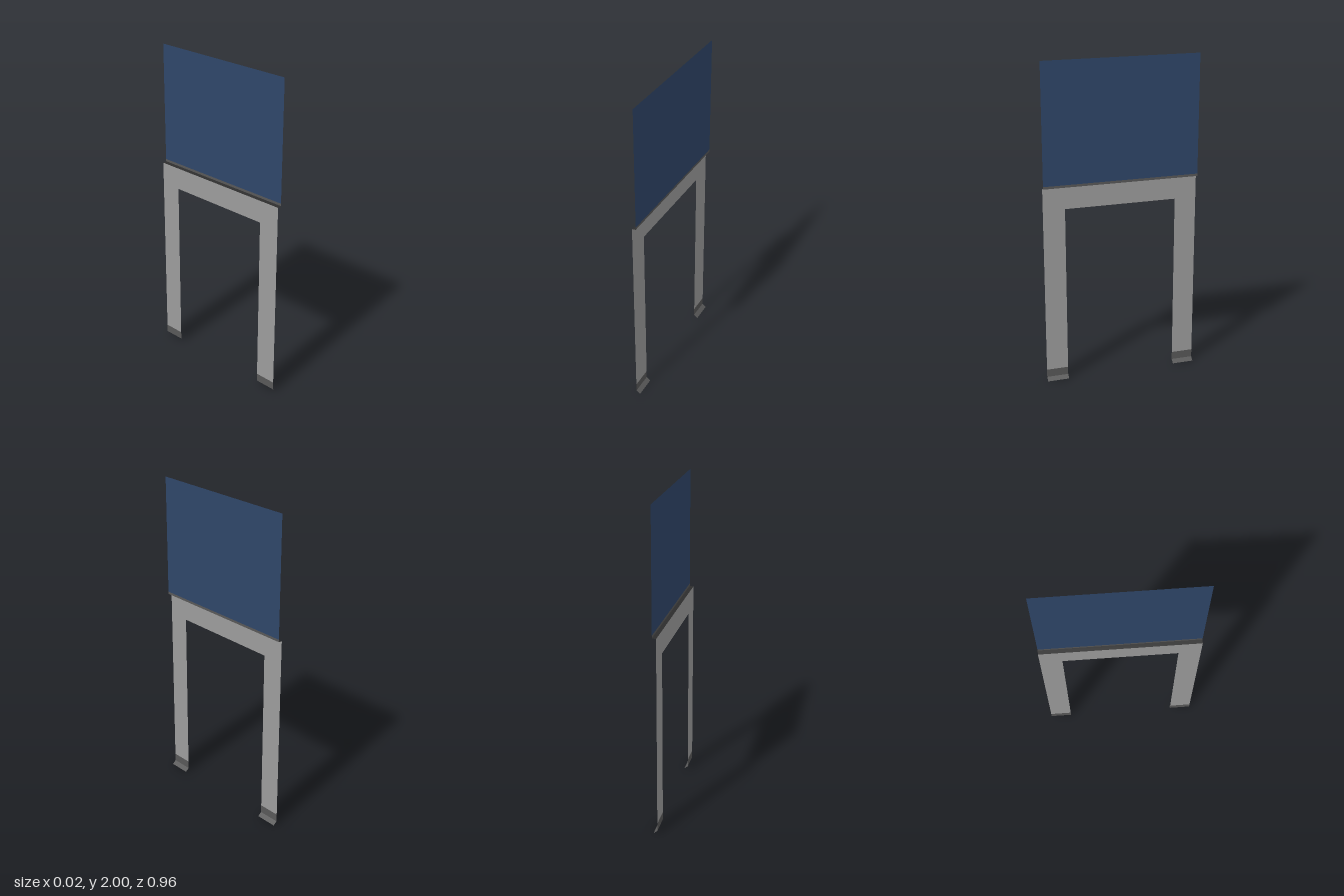
import * as THREE from 'three';

const paint = (name, color) => {
  const m = new THREE.MeshStandardMaterial({ color, side: THREE.DoubleSide });
  m.name = name;
  return m;
};

// Sweep an open [x, y] profile along z into a thin flat-sided sheet
function sheet(name, profile, z0, z1, material) {
  const pos = [];
  for (let i = 0; i + 1 < profile.length; i++) {
    const [ax, ay] = profile[i];
    const [bx, by] = profile[i + 1];
    pos.push(ax, ay, z1, ax, ay, z0, bx, by, z0);
    pos.push(ax, ay, z1, bx, by, z0, bx, by, z1);
  }
  const geo = new THREE.BufferGeometry();
  geo.setAttribute('position', new THREE.Float32BufferAttribute(pos, 3));
  geo.computeVertexNormals();
  const mesh = new THREE.Mesh(geo, material);
  mesh.name = name;
  return mesh;
}

export function createModel() {
  const group = new THREE.Group();
  group.name = 'panelStand';
  const blue = paint('panel blue', 0x2f4669);
  const grey = paint('frame grey', 0x9c9c9c);
  const footGrey = paint('foot grey', 0x585858);
  const black = paint('ledge black', 0x2d2d2d);

  const half = 0.48, inner = 0.345, back = -0.012, front = 0.012;
  const legTop = 1.247, footTop = 0.07;

  // Upper panel
  group.add(sheet('panel', [[front, 1.265], [front, 2]], -half, half, blue));

  // Ledge joining the panel to the frame, with its small rim
  group.add(sheet('ledge', [[back, legTop], [front, legTop + 0.003]], -half, half, black));
  group.add(sheet('ledgeRim', [[front, legTop + 0.003], [front, 1.265]], -half, half, footGrey));

  // Crossbar between the legs
  group.add(sheet('crossbar', [[back, 1.11], [back, legTop]], -inner, inner, grey));

  // Legs with feet that turn outward at the bottom
  for (const [side, z0, z1] of [['front', inner, half], ['back', -half, -inner]]) {
    group.add(sheet(side + 'Leg', [[back, footTop], [back, legTop]], z0, z1, grey));
    group.add(sheet(side + 'Foot', [[front, 0], [back, 0.02], [back, footTop]], z0, z1, footGrey));
  }
  return group;
}
